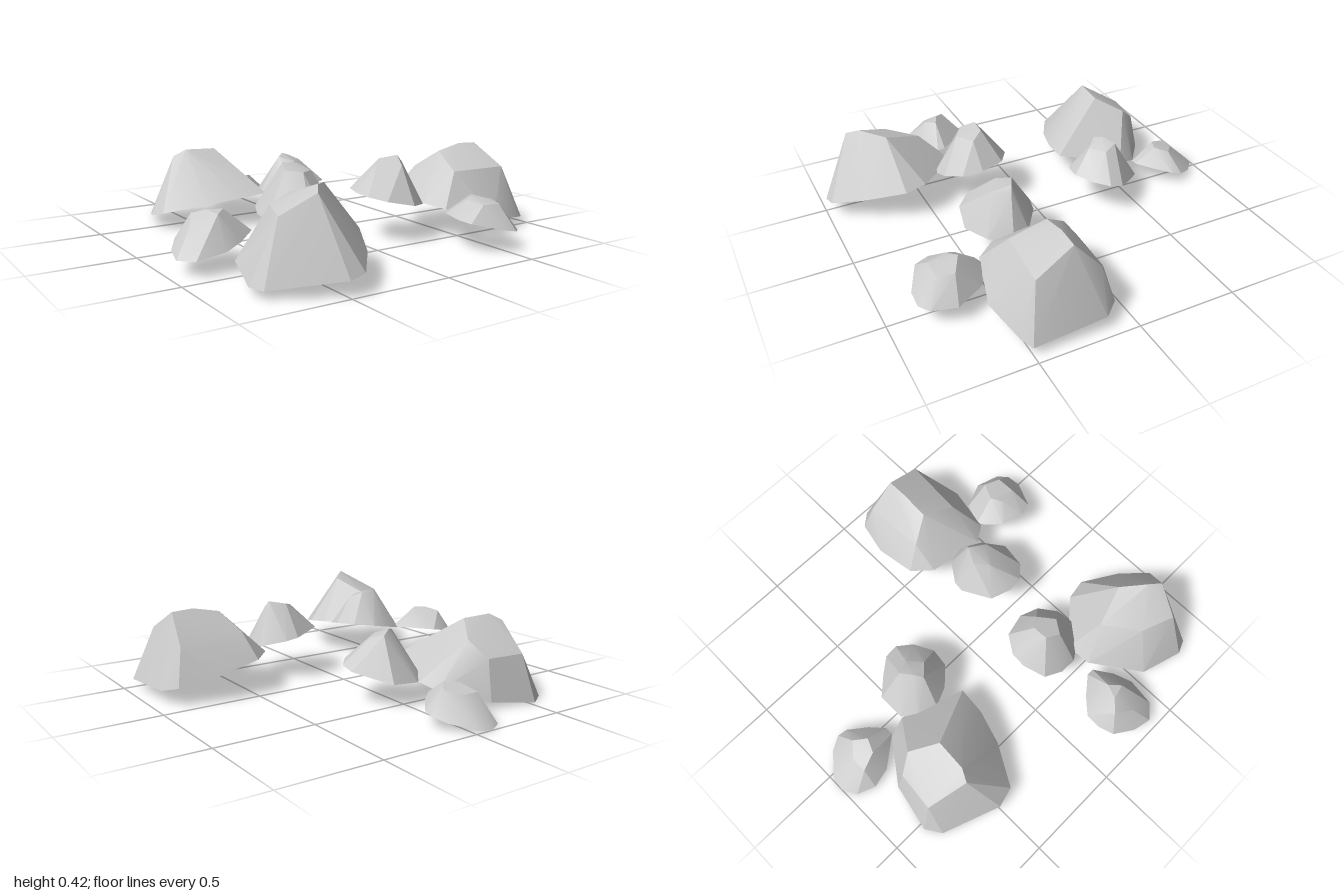
import * as THREE from 'three';
import { ConvexGeometry } from 'three/addons/geometries/ConvexGeometry.js';
import { toCreasedNormals } from 'three/addons/utils/BufferGeometryUtils.js';

const material = new THREE.MeshStandardMaterial({ color: 0xcccccc, side: THREE.DoubleSide });

// A tilted ground plane shared by the rocks of one cluster
const slope = (x0, y0, z0, dx, dz) => (x, z) => y0 + dx * (x - x0) + dz * (z - z0);

// A hollow rock: hull of a rim lying on the ground plane and a few crown points, left open below
function rock(name, ground, rim, crown) {
  const points = [
    ...rim.map(([x, z]) => new THREE.Vector3(x, ground(x, z), z)),
    ...crown.map((p) => new THREE.Vector3(...p)),
  ];
  const hull = new ConvexGeometry(points).getAttribute('position');
  const kept = [];
  for (let i = 0; i < hull.count; i += 3) {
    const corners = [0, 1, 2].map((k) => new THREE.Vector3().fromBufferAttribute(hull, i + k));
    const onGround = corners.every((c) => Math.abs(c.y - ground(c.x, c.z)) < 1e-4);
    if (!onGround) corners.forEach((c) => kept.push(c.x, c.y, c.z));
  }
  const geometry = new THREE.BufferGeometry();
  geometry.setAttribute('position', new THREE.Float32BufferAttribute(kept, 3));
  const mesh = new THREE.Mesh(toCreasedNormals(geometry, 0.4), material);
  mesh.name = name;
  return mesh;
}

function cluster(name, ...rocks) {
  const group = new THREE.Group();
  group.name = name;
  group.add(...rocks);
  return group;
}

export function createModel() {
  const model = new THREE.Group();
  model.name = 'rockClusters';

  // Back cluster
  const back = slope(-0.53, 0, -0.84, 0.08, 0.23);
  model.add(cluster('backCluster',
    rock('backLargeRock', back,
      [[-0.53, -0.84], [-0.29, -0.79], [-0.09, -0.64], [-0.06, -0.54], [-0.15, -0.38], [-0.19, -0.23],
        [-0.33, -0.24], [-0.5, -0.29], [-0.7, -0.4], [-0.725, -0.5], [-0.61, -0.79]],
      [[-0.56, 0.35, -0.57], [-0.5, 0.385, -0.54], [-0.34, 0.38, -0.53], [-0.25, 0.31, -0.66],
        [-0.5, 0.23, -0.77], [-0.3, 0.23, -0.75]]),
    rock('backSmallRock', back,
      [[-0.09, -1], [-0.02, -0.99], [0.08, -0.9], [0.115, -0.83], [0.105, -0.78], [0.03, -0.69],
        [-0.04, -0.63], [-0.08, -0.63], [-0.185, -0.77], [-0.205, -0.87], [-0.165, -0.96]],
      [[-0.1, 0.16, -0.77], [-0.03, 0.165, -0.74], [0.02, 0.15, -0.8], [-0.05, 0.13, -0.86], [-0.13, 0.13, -0.86]]),
    rock('backMediumRock', back,
      [[-0.05, -0.54], [0.09, -0.54], [0.16, -0.46], [0.22, -0.38], [0.22, -0.31], [0.16, -0.24],
        [0.06, -0.19], [-0.03, -0.2], [-0.11, -0.28], [-0.15, -0.375], [-0.12, -0.48]],
      [[-0.04, 0.33, -0.35], [0, 0.345, -0.38], [0.06, 0.325, -0.42], [0.09, 0.305, -0.35], [0.02, 0.31, -0.29]])));

  // Right cluster
  const right = slope(-0.83, 0.04, 0.76, 0.184, -0.133);
  model.add(cluster('rightCluster',
    rock('rightLargeRock', right,
      [[-0.54, 0.34], [-0.41, 0.32], [-0.34, 0.42], [-0.23, 0.53], [-0.21, 0.64], [-0.31, 0.84],
        [-0.42, 0.98], [-0.5, 0.99], [-0.8, 0.83], [-0.83, 0.76], [-0.77, 0.53]],
      [[-0.7, 0.31, 0.77], [-0.55, 0.4, 0.83], [-0.51, 0.42, 0.77], [-0.41, 0.4, 0.66],
        [-0.47, 0.33, 0.47], [-0.64, 0.32, 0.6]]),
    rock('rightSmallRock', right,
      [[-0.8, 0.13], [-0.725, 0.13], [-0.65, 0.2], [-0.58, 0.29], [-0.58, 0.33], [-0.67, 0.4],
        [-0.76, 0.44], [-0.9, 0.43], [-0.96, 0.36], [-0.94, 0.26], [-0.88, 0.16]],
      [[-0.77, 0.25, 0.26], [-0.7, 0.25, 0.29], [-0.75, 0.24, 0.34], [-0.87, 0.185, 0.3], [-0.82, 0.23, 0.21]]),
    rock('rightMediumRock', right,
      [[-0.33, 0.07], [-0.25, 0.07], [-0.16, 0.13], [-0.13, 0.25], [-0.16, 0.35], [-0.24, 0.42],
        [-0.33, 0.44], [-0.42, 0.38], [-0.48, 0.29], [-0.48, 0.2], [-0.44, 0.11]],
      [[-0.37, 0.385, 0.27], [-0.34, 0.41, 0.2], [-0.26, 0.4, 0.2], [-0.22, 0.37, 0.26], [-0.3, 0.375, 0.32]])));

  // Left cluster
  const left = slope(0.95, 0.04, 0.5, -0.2, -0.08);
  model.add(cluster('leftCluster',
    rock('leftLargeRock', left,
      [[0.48, 0.04], [0.7, 0.02], [0.89, 0.07], [0.95, 0.14], [0.95, 0.5], [0.89, 0.53],
        [0.67, 0.58], [0.41, 0.51], [0.35, 0.42], [0.38, 0.23], [0.39, 0.13]],
      [[0.58, 0.39, 0.25], [0.72, 0.42, 0.25], [0.83, 0.415, 0.25], [0.85, 0.31, 0.44],
        [0.54, 0.31, 0.42], [0.85, 0.27, 0.12], [0.52, 0.3, 0.13]]),
    rock('leftMediumRock', left,
      [[0.19, 0.14], [0.25, 0.15], [0.36, 0.23], [0.385, 0.32], [0.33, 0.43], [0.22, 0.5],
        [0.08, 0.47], [0.015, 0.4], [0.005, 0.32], [0.04, 0.21]],
      [[0.14, 0.365, 0.3], [0.2, 0.385, 0.24], [0.28, 0.4, 0.28], [0.24, 0.365, 0.37], [0.3, 0.37, 0.29]]),
    rock('leftSmallRock', left,
      [[0.44, 0.51], [0.56, 0.56], [0.625, 0.7], [0.59, 0.82], [0.54, 0.86], [0.46, 0.86],
        [0.32, 0.79], [0.3, 0.72], [0.33, 0.6], [0.4, 0.53]],
      [[0.4, 0.225, 0.67], [0.46, 0.24, 0.63], [0.55, 0.215, 0.68], [0.52, 0.21, 0.76], [0.42, 0.215, 0.76]])));

  return model;
}
